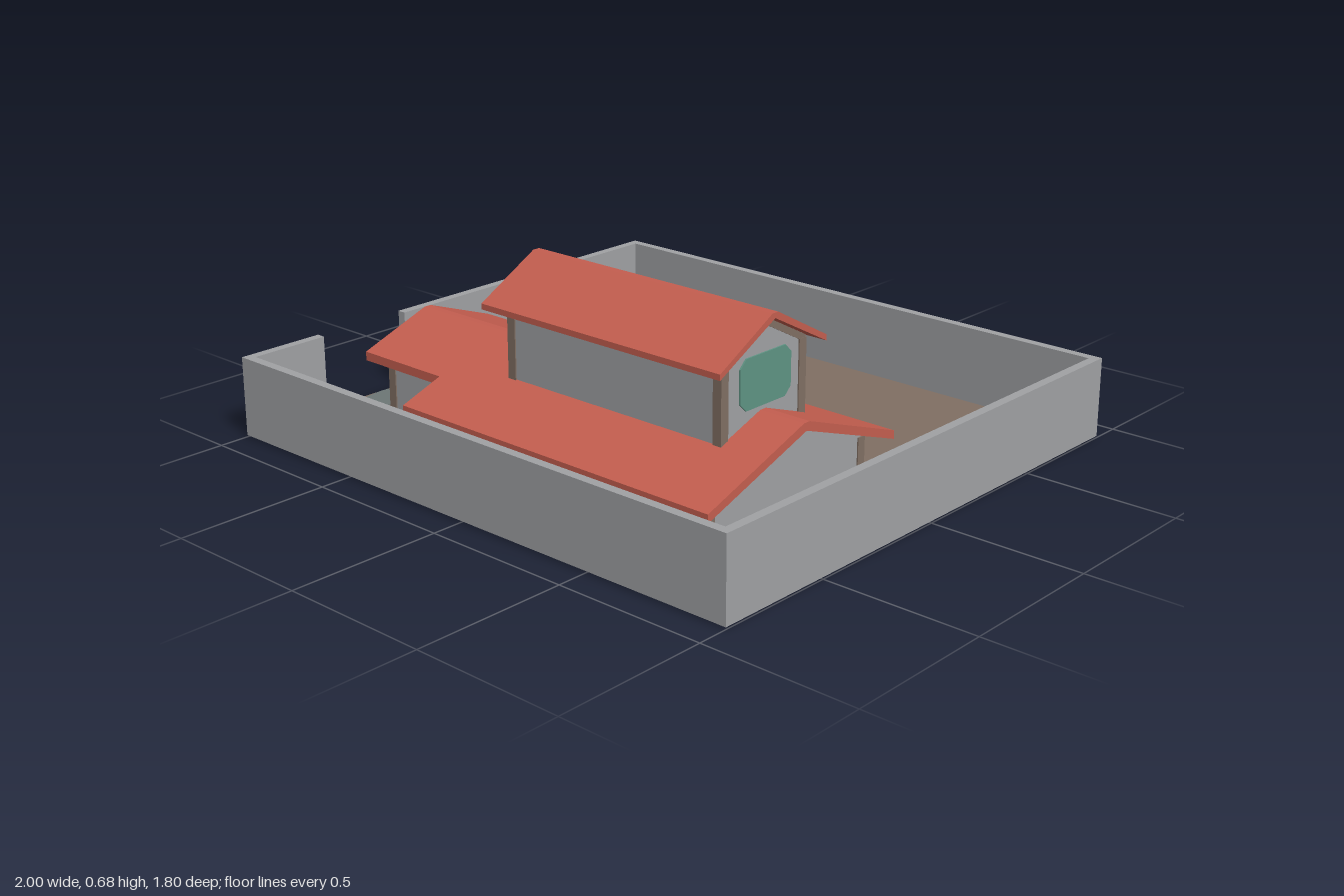
import * as THREE from 'three';

const mat = (name, color) => {
  const m = new THREE.MeshStandardMaterial({ color });
  m.name = name;
  return m;
};

export function createModel() {
  const root = new THREE.Group();
  root.name = 'walledHouse';
  const grey = mat('wallGrey', 0xa0a1a4);
  const red = mat('roofRed', 0xc45e4f);
  const brown = mat('earthBrown', 0x806f63);
  const teal = mat('windowTeal', 0x5f9484);
  const slate = mat('slateGrey', 0x737a79);
  const stone = mat('pathStone', 0x6d7675);
  const C = 0.432; // z of both ridges

  const add = (name, geo, material, parent = root) => {
    const m = new THREE.Mesh(geo, material);
    m.name = name;
    parent.add(m);
    return m;
  };
  // box given by its limits
  const box = (name, x0, x1, y0, y1, z0, z1, material, parent) => {
    const m = add(name, new THREE.BoxGeometry(x1 - x0, y1 - y0, z1 - z0), material, parent);
    m.position.set((x0 + x1) / 2, (y0 + y1) / 2, (z0 + z1) / 2);
    return m;
  };
  // [z, y] outline swept along x
  const sweepX = (name, pts, x0, x1, material, parent) => {
    const shape = new THREE.Shape(pts.map(([z, y]) => new THREE.Vector2(-z, y)));
    const geo = new THREE.ExtrudeGeometry(shape, { depth: x1 - x0, bevelEnabled: false });
    geo.rotateY(Math.PI / 2);
    geo.translate(x0, 0, 0);
    return add(name, geo, material, parent);
  };
  // gable roof with a slightly blunt ridge
  const roof = (name, x0, x1, half, top, slope, t, parent) => {
    const b = 0.012, e = top - slope * half;
    sweepX(name, [
      [C - half, e], [C - b, top - slope * b * 0.4], [C + b, top - slope * b * 0.4], [C + half, e],
      [C + half, e - t], [C, top - t], [C - half, e - t],
    ], x0, x1, red, parent);
  };
  // gabled wall block
  const body = (name, x0, x1, half, y0, apex, slope, parent) => sweepX(name, [
    [C - half, y0], [C - half, apex - slope * half], [C, apex],
    [C + half, apex - slope * half], [C + half, y0],
  ], x0, x1, grey, parent);
  // brown corner posts, standing slightly proud of the walls
  const corners = (x0, x1, half, y0, y1, parent) => {
    const w = 0.03, p = 0.004;
    for (const z of [C - half - p, C + half + p - w])
      for (const x of [x0 - p, x1 + p - w])
        box('cornerPost', x, x + w, y0, y1, z, z + w, brown, parent);
  };
  // window plate with cut corners
  const pane = (w, h, x, y, z, turn, parent) => {
    const a = w / 2, b = h / 2, c = 0.025;
    const s = new THREE.Shape([
      [-a + c, -b], [a - c, -b], [a, -b + c], [a, b - c],
      [a - c, b], [-a + c, b], [-a, b - c], [-a, -b + c],
    ].map(([u, v]) => new THREE.Vector2(u, v)));
    const m = add('window', new THREE.ExtrudeGeometry(s, { depth: 0.005, bevelEnabled: false }), teal, parent);
    m.position.set(x, y, z);
    m.rotation.y = turn;
  };

  // ground and boundary walls with an entrance gap
  box('ground', -0.985, 0.985, 0.003, 0.013, -0.885, 0.885, brown);
  const fence = new THREE.Group();
  fence.name = 'boundaryWall';
  root.add(fence);
  const H = 0.267, B = 0.006, T = 0.03;
  box('frontWall', -1, 1, B, H, 0.9 - T, 0.9, grey, fence);
  box('backWall', -1, 1, B, H, -0.9, -0.9 + T, grey, fence);
  box('rightWall', 1 - T, 1, B, H, -0.9 + T, 0.9 - T, grey, fence);
  box('gateWallBack', -1, -1 + T, B, H, -0.9 + T, 0.26, grey, fence);
  box('gateWallFront', -1, -1 + T, B, H, 0.6, 0.9 - T, grey, fence);

  // stepping stones
  for (const [x, z, rx, rz, turn] of [
    [-0.92, 0.39, 0.06, 0.14, 0.12], [-0.82, 0.22, 0.055, 0.115, 0.15], [-0.68, 0.2, 0.05, 0.075, 0.4],
  ]) {
    const m = add('steppingStone', new THREE.CylinderGeometry(1, 1, 0.0135, 14), stone);
    m.scale.set(rx, 1, rz);
    m.rotation.y = turn;
    m.position.set(x, 0.0083, z);
  }

  // ground floor
  const lower = new THREE.Group();
  lower.name = 'groundFloor';
  root.add(lower);
  body('mainWalls', -0.25, 0.82, 0.335, 0.008, 0.377, 0.35, lower);
  body('wingWalls', -0.61, -0.25, 0.195, 0.008, 0.377, 0.35, lower);
  corners(-0.25, 0.82, 0.335, 0.008, 0.25, lower);
  corners(-0.61, -0.22, 0.195, 0.008, 0.3, lower);
  roof('mainRoof', -0.31, 0.88, 0.402, 0.402, 0.35, 0.026, lower);
  roof('wingRoof', -0.65, -0.31, 0.256, 0.402, 0.35, 0.028, lower);
  pane(0.39, 0.15, 0.415, 0.13, C - 0.335, Math.PI, lower);
  pane(0.17, 0.15, -0.41, 0.13, C + 0.195, 0, lower);

  // upper floor
  const upper = new THREE.Group();
  upper.name = 'upperFloor';
  root.add(upper);
  body('upperWalls', -0.087, 0.727, 0.176, 0.3, 0.666, 0.53, upper);
  corners(-0.087, 0.727, 0.176, 0.3, 0.565, upper);
  roof('upperRoof', -0.15, 0.765, 0.225, 0.687, 0.53, 0.018, upper);
  for (const [x, turn] of [[0.727, Math.PI / 2], [-0.087, -Math.PI / 2]]) {
    pane(0.215, 0.15, x, 0.49, C - 0.005, turn, upper);
    // brown trim beneath the gable
    sweepX('gableTrim', [
      [C - 0.176, 0.572], [C, 0.666], [C + 0.176, 0.572], [C + 0.176, 0.55], [C, 0.644], [C - 0.176, 0.55],
    ], x - 0.003, x + 0.003, brown, upper);
  }

  // raised slabs, each with a thin rim below
  const slab = (name, x0, x1, z0, z1, top) => {
    const r = 0.008;
    box(name, x0, x1, 0.006, top, z0, z1, grey);
    box(name + 'Rim', x0, x1, 0, 0.006, z0, z0 + r, grey);
    for (const x of [x0, x1 - r]) box(name + 'Rim', x, x + r, 0, 0.006, z0 + r, z1, grey);
  };
  slab('terrace', 0.205, 0.655, -0.01, 0.1, 0.04);
  slab('porchFloor', -0.59, -0.28, -0.01, 0.24, 0.04);
  box('frontStep', -0.5, -0.31, 0.008, 0.04, 0.62, 0.75, grey);

  // porch posts and sloping canopy
  for (const x of [-0.575, -0.31]) box('porchPost', x, x + 0.015, 0.04, 0.24, 0.005, 0.02, slate);
  sweepX('porchRoof', [[-0.01, 0.235], [-0.01, 0.25], [0.24, 0.3], [0.24, 0.285]], -0.59, -0.28, slate);

  return root;
}
